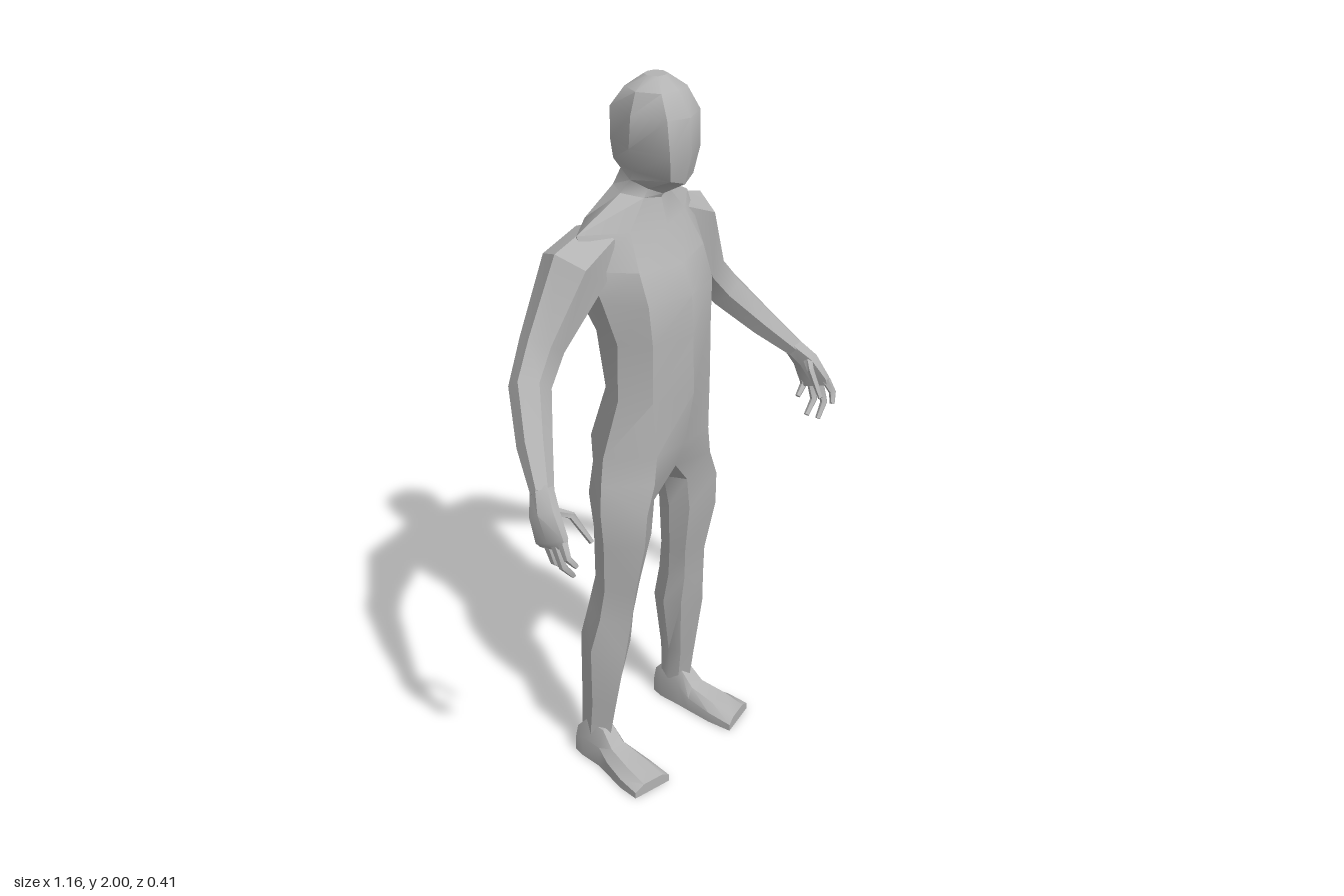
import * as THREE from 'three';
import { toCreasedNormals } from 'three/addons/utils/BufferGeometryUtils.js';

const V = (x, y, z) => new THREE.Vector3(x, y, z);

// Skins consecutive rings (counter-clockwise about the direction of travel) into triangles
function loft(rings, capStart = true, capEnd = true) {
  const tris = [];
  const n = rings[0].length;
  for (let i = 0; i + 1 < rings.length; i++) {
    for (let j = 0; j < n; j++) {
      const k = (j + 1) % n;
      const a = rings[i][j], b = rings[i][k], c = rings[i + 1][k], d = rings[i + 1][j];
      tris.push([a, b, c], [a, c, d]);
    }
  }
  const cap = (ring, flip) => {
    const m = ring.reduce((s, p) => s.add(p), V(0, 0, 0)).divideScalar(n);
    ring.forEach((p, j) => {
      const q = ring[(j + 1) % n];
      tris.push(flip ? [m, q, p] : [m, p, q]);
    });
  };
  if (capStart) cap(rings[0], true);
  if (capEnd) cap(rings[rings.length - 1], false);
  return tris;
}

const mirror = tris => tris.map(t => [t[0], t[2], t[1]].map(p => V(-p.x, p.y, p.z)));

function makeMesh(name, tris, material) {
  const geometry = new THREE.BufferGeometry().setFromPoints(tris.flat());
  const mesh = new THREE.Mesh(toCreasedNormals(geometry, 0.6), material);
  mesh.name = name;
  return mesh;
}

// Tube through stations [x, y, z, radius across, radius up]
function limb(stations, sides) {
  const pts = stations.map(s => V(s[0], s[1], s[2]));
  const rings = stations.map((s, i) => {
    const t = pts[Math.min(i + 1, pts.length - 1)].clone().sub(pts[Math.max(i - 1, 0)]).normalize();
    const u = V(0, 0, 1).addScaledVector(t, -t.z).normalize();
    const v = t.clone().cross(u);
    return Array.from({ length: sides }, (_, k) => {
      const a = Math.PI / 2 + k * 2 * Math.PI / sides;
      return pts[i].clone().addScaledVector(u, Math.cos(a) * s[3]).addScaledVector(v, Math.sin(a) * s[4]);
    });
  });
  return loft(rings);
}

// Hips to crown: y front, y back, z front, front corner x z, side x z, back corner x z, z back
const TRUNK = [
  [0.94, 0.94, 0.06, 0.12, 0.085, 0.215, -0.02, 0.12, -0.13, -0.10],
  [1.02, 1.02, 0.09, 0.11, 0.085, 0.205, -0.02, 0.12, -0.135, -0.145],
  [1.18, 1.18, 0.12, 0.12, 0.08, 0.165, 0, 0.12, -0.08, -0.10],
  [1.34, 1.34, 0.115, 0.12, 0.08, 0.165, 0, 0.13, -0.10, -0.115],
  [1.45, 1.45, 0.11, 0.13, 0.075, 0.185, -0.03, 0.15, -0.155, -0.17],
  [1.53, 1.55, 0.08, 0.13, 0.045, 0.21, -0.05, 0.15, -0.17, -0.205],
  [1.62, 1.64, 0.03, 0.11, 0, 0.22, -0.08, 0.12, -0.14, -0.165],
  [1.69, 1.72, 0.01, 0.05, -0.005, 0.075, -0.06, 0.05, -0.105, -0.115],
  [1.70, 1.78, 0.015, 0.04, 0, 0.062, -0.04, 0.05, -0.08, -0.085],
  [1.74, 1.80, 0.085, 0.045, 0.075, 0.072, -0.02, 0.06, -0.095, -0.11],
  [1.82, 1.84, 0.105, 0.06, 0.085, 0.09, -0.02, 0.065, -0.10, -0.12],
  [1.91, 1.92, 0.10, 0.065, 0.08, 0.095, -0.01, 0.065, -0.10, -0.125],
  [1.97, 1.97, 0.065, 0.05, 0.05, 0.075, -0.01, 0.05, -0.065, -0.08],
  [2.0, 2.0, 0.02, 0.02, 0.015, 0.03, -0.01, 0.02, -0.03, -0.035],
];

function trunkRing([yf, yb, zf, ax, az, wx, wz, bx, bz, zb]) {
  const half = [[0, zf], [ax, az], [wx, wz], [bx, bz], [0, zb]]
    .map(([x, z], i) => V(x, yf + (yb - yf) * i / 4, z));
  return [...half, ...[3, 2, 1].map(i => V(-half[i].x, half[i].y, half[i].z))];
}

// Thigh to ankle: y, inner x, outer x, z front, z back
const LEG = [
  [0.86, 0.045, 0.222, 0.085, -0.12],
  [0.76, 0.06, 0.22, 0.08, -0.10],
  [0.60, 0.085, 0.20, 0.045, -0.10],
  [0.50, 0.10, 0.205, 0.035, -0.12],
  [0.40, 0.095, 0.228, 0.025, -0.14],
  [0.20, 0.14, 0.21, -0.01, -0.135],
  [0.08, 0.15, 0.21, -0.03, -0.135],
];

function legRing([y, xi, xo, zf, zb]) {
  const d = xo - xi, e = zf - zb, mid = (zf + zb) / 2;
  return [
    V(xi + 0.15 * d, y, zf - 0.2 * e), V(xi + 0.6 * d, y, zf), V(xo, y, mid),
    V(xi + 0.6 * d, y, zb), V(xi + 0.15 * d, y, zb + 0.2 * e), V(xi, y, mid),
  ];
}

// Heel to toe: z, inner x, outer x, height, backward slant of the outer side
const FOOT = [
  [-0.145, 0.16, 0.205, 0.08, 0],
  [-0.11, 0.15, 0.215, 0.12, 0],
  [-0.04, 0.148, 0.222, 0.12, 0],
  [0.0, 0.145, 0.235, 0.075, 0],
  [0.08, 0.14, 0.257, 0.055, 0.01],
  [0.157, 0.145, 0.265, 0.035, 0.025],
];

function footRing([z, xi, xo, h, slant]) {
  const d = xo - xi;
  return [
    V(xi, 0, z), V(xo, 0, z - slant), V(xo, h * 0.55, z - slant),
    V(xi + 0.75 * d, h, z - slant * 0.75), V(xi + 0.2 * d, h, z - slant * 0.2), V(xi, h * 0.6, z),
  ];
}

const ARM = [
  [0.13, 1.59, -0.085, 0.075, 0.06],
  [0.222, 1.54, -0.09, 0.085, 0.092],
  [0.33, 1.37, -0.105, 0.06, 0.058],
  [0.40, 1.285, -0.085, 0.054, 0.054],
  [0.475, 1.18, -0.005, 0.046, 0.042],
  [0.533, 1.10, 0.07, 0.03, 0.028],
];

const PALM = [
  [0.527, 1.11, 0.062, 0.03, 0.027],
  [0.555, 1.06, 0.095, 0.045, 0.026],
  [0.564, 1.0, 0.125, 0.056, 0.018],
  [0.562, 0.985, 0.13, 0.05, 0.012],
];

// Base, knuckle and tip of each digit
const DIGITS = [
  [[0.545, 1.07, 0.11], [0.512, 1.055, 0.145], [0.495, 0.99, 0.193]],
  [[0.566, 1.01, 0.162], [0.572, 0.975, 0.183], [0.555, 0.95, 0.195]],
  [[0.566, 1.0, 0.138], [0.565, 0.94, 0.16], [0.532, 0.9, 0.163]],
  [[0.565, 0.995, 0.112], [0.56, 0.94, 0.128], [0.522, 0.905, 0.13]],
  [[0.564, 1.0, 0.088], [0.56, 0.975, 0.09], [0.53, 0.95, 0.092]],
];

export function createModel() {
  const model = new THREE.Group();
  model.name = 'figure';
  const grey = new THREE.MeshStandardMaterial({ color: 0xb3b3b3 });
  grey.name = 'plain grey';

  // Body: trunk and head in one skin, whose hip ring divides into both legs
  const trunk = TRUNK.map(trunkRing);
  const hip = [...trunk[0].slice(0, 5), V(0, 0.91, -0.02)];
  const leg = loft([hip, ...LEG.map(legRing)].reverse(), true, false);
  model.add(makeMesh('body', [...loft(trunk, false, true), ...leg, ...mirror(leg)], grey));

  // Paired parts, shaped on the left and mirrored to the right
  const hand = [...limb(PALM, 6)];
  DIGITS.forEach(points => {
    hand.push(...limb(points.map((p, i) => [...p, 0.014 - i * 0.003, 0.013 - i * 0.003]), 5));
  });
  const pairs = { Arm: limb(ARM, 6), Hand: hand, Foot: loft(FOOT.map(footRing)) };
  for (const [part, tris] of Object.entries(pairs)) {
    model.add(makeMesh('left' + part, tris, grey), makeMesh('right' + part, mirror(tris), grey));
  }
  return model;
}
